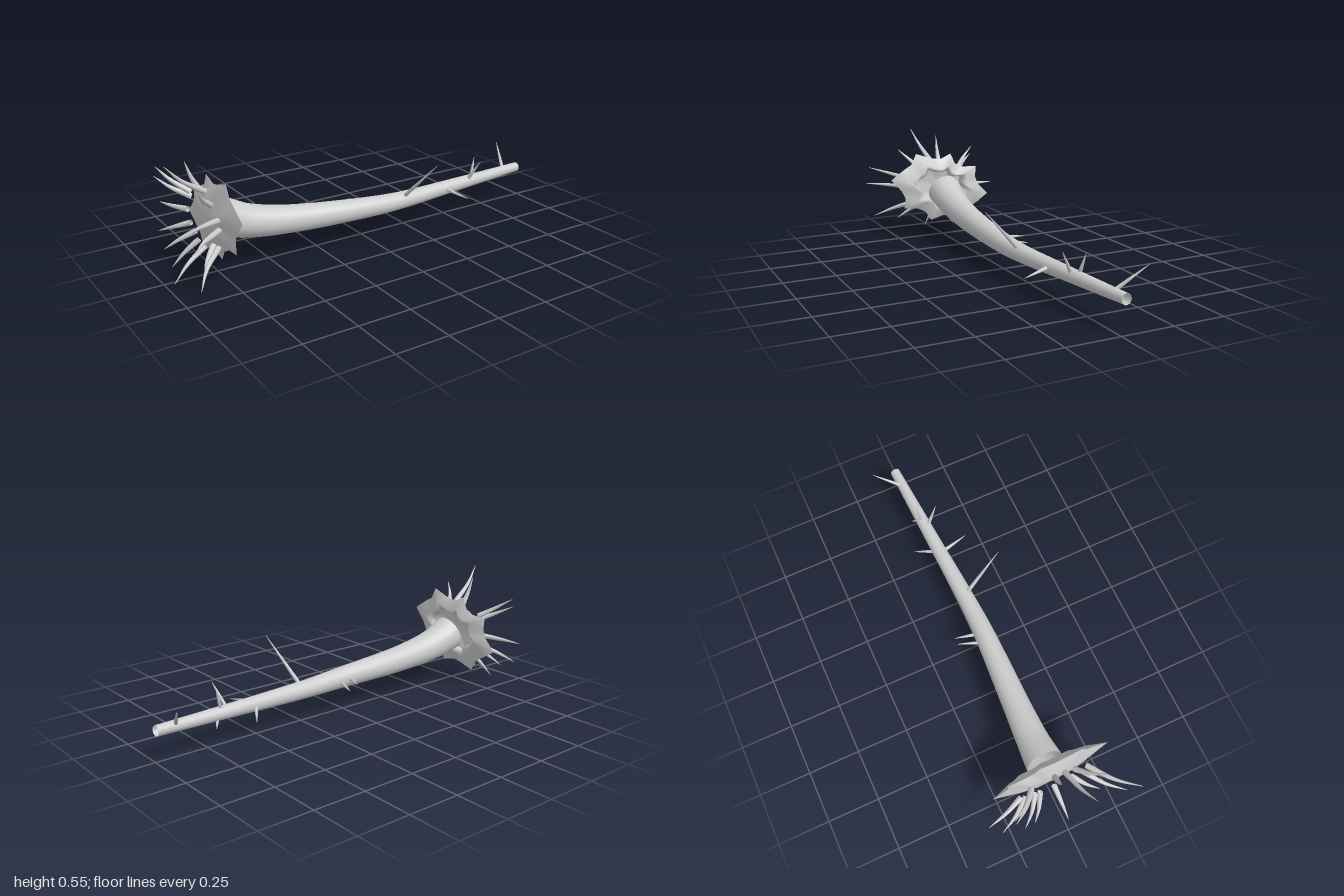
import * as THREE from 'three';

const V = (p) => new THREE.Vector3(...p);

// Smooth tube whose radius follows a rule along its length
function taperedTube(points, radiusAt, segments, sides) {
  const curve = new THREE.CatmullRomCurve3(points.map(V));
  const geo = new THREE.TubeGeometry(curve, segments, 1, sides, false);
  const pos = geo.attributes.position;
  const v = new THREE.Vector3();
  for (let i = 0; i <= segments; i++) {
    const c = curve.getPointAt(i / segments);
    const r = radiusAt(i / segments, c);
    for (let j = 0; j <= sides; j++) {
      const k = i * (sides + 1) + j;
      v.fromBufferAttribute(pos, k).sub(c).multiplyScalar(r).add(c);
      pos.setXYZ(k, v.x, v.y, v.z);
    }
  }
  return geo;
}

// Strip of star-shaped rings, each ring given as [scale, x]
function starShell(outline, rings, cy) {
  const pos = [], idx = [], n = outline.length;
  for (const [s, x] of rings)
    for (const [z, y] of outline) pos.push(x, cy + (y - cy) * s, z * s);
  for (let r = 0; r < rings.length - 1; r++)
    for (let i = 0; i < n; i++) {
      const j = (i + 1) % n;
      const a = r * n + i, b = r * n + j, c = a + n, d = b + n;
      idx.push(a, d, c, a, b, d);
    }
  const geo = new THREE.BufferGeometry();
  geo.setAttribute('position', new THREE.Float32BufferAttribute(pos, 3));
  geo.setIndex(idx);
  geo.computeVertexNormals();
  return geo;
}

export function createModel() {
  const model = new THREE.Group();
  // Open tubes and thin shells, so both sides show
  const grey = new THREE.MeshStandardMaterial({ color: 0xcccccc, side: THREE.DoubleSide });
  grey.name = 'pale grey';
  const add = (name, geo) => {
    const m = new THREE.Mesh(geo, grey);
    m.name = name;
    model.add(m);
  };

  // Curved stem: x, y, z, radius
  const stem = [
    [-0.715, 0.25, 0, 0.088], [-0.6, 0.207, 0.003, 0.076], [-0.4, 0.173, 0.012, 0.065],
    [0, 0.145, 0.028, 0.05], [0.2, 0.137, 0.025, 0.043], [0.6, 0.141, 0.003, 0.033],
    [1, 0.148, -0.019, 0.024],
  ];
  const stemRadius = (t, c) => {
    let i = 0;
    while (i < stem.length - 2 && c.x > stem[i + 1][0]) i++;
    const f = (c.x - stem[i][0]) / (stem[i + 1][0] - stem[i][0]);
    return THREE.MathUtils.lerp(stem[i][3], stem[i + 1][3], f);
  };
  add('stem', taperedTube(stem.map((p) => p.slice(0, 3)), stemRadius, 32, 20));

  // Star-shaped flower disc: outline as z, y
  const cy = 0.26;
  const outline = [
    [-0.056, 0.439], [-0.082, 0.383], [-0.127, 0.362], [-0.208, 0.358], [-0.202, 0.3],
    [-0.22, 0.257], [-0.277, 0.199], [-0.21, 0.155], [-0.163, 0.126], [-0.133, 0.068],
    [-0.06, 0.09], [-0.01, 0.1], [0.064, 0.081], [0.095, 0.13], [0.14, 0.153],
    [0.217, 0.16], [0.208, 0.214], [0.23, 0.257], [0.286, 0.321], [0.213, 0.371],
    [0.17, 0.396], [0.144, 0.452], [0.058, 0.422], [0.004, 0.413],
  ];
  // Front face rolls inward to a lip around the stem; back face is closed
  add('discFront', starShell(outline,
    [[0.52, -0.76], [0.55, -0.735], [0.66, -0.724], [1, -0.755]], cy));
  add('discBack', starShell(outline, [[1, -0.755], [0.5, -0.787], [0, -0.792]], cy));

  // Long curved spikes fanning out behind the disc: tip positions
  const spikeTips = [
    [-0.99, 0.553, 0.083], [-0.865, 0.525, -0.017], [-0.91, 0.443, -0.25],
    [-0.92, 0.401, -0.247], [-0.866, 0.238, -0.348], [-0.9, 0.122, -0.294],
    [-0.92, 0.075, -0.187], [-0.91, 0.008, -0.129], [-0.96, 0.001, 0.022],
    [-0.9, 0.077, 0.206], [-0.96, 0.09, 0.316], [-0.99, 0.268, 0.348],
    [-0.998, 0.354, 0.328], [-0.9, 0.459, 0.193],
  ];
  for (const [x, y, z] of spikeTips) {
    const at = (s, f) => [-0.805 + (x + 0.805) * f, cy + (y - cy) * s, z * s];
    add('spike', taperedTube([at(0.47, 0), at(0.72, 0.58), at(1, 1)],
      (t) => 0.0125 * (1 - t ** 1.4) + 0.001, 10, 10));
  }

  // Thorns along the stem: base, tip, base radius
  const thorns = [
    [[0.225, 0.165, 0.045], [0.275, 0.362, 0.23], 0.009],
    [[0.645, 0.165, 0.018], [0.672, 0.263, 0.073], 0.008],
    [[0.68, 0.165, -0.005], [0.707, 0.255, -0.018], 0.008],
    [[0.91, 0.158, -0.025], [0.965, 0.26, -0.144], 0.008],
    [[0.485, 0.143, 0.03], [0.525, 0.123, 0.167], 0.009],
    [[0.505, 0.135, -0.015], [0.56, 0.1, -0.102], 0.008],
    [[0.7, 0.125, -0.01], [0.727, 0.094, -0.043], 0.007],
    [[-0.035, 0.145, -0.015], [0, 0.15, -0.112], 0.008],
    [[0.015, 0.135, -0.015], [0.04, 0.126, -0.108], 0.008],
  ];
  for (const [base, tip, r] of thorns) {
    const mid = V(base).lerp(V(tip), 0.5);
    add('thorn', taperedTube([base, mid.toArray(), tip],
      (t) => r * (1 - t ** 1.4) + 0.001, 8, 8));
  }

  return model;
}
